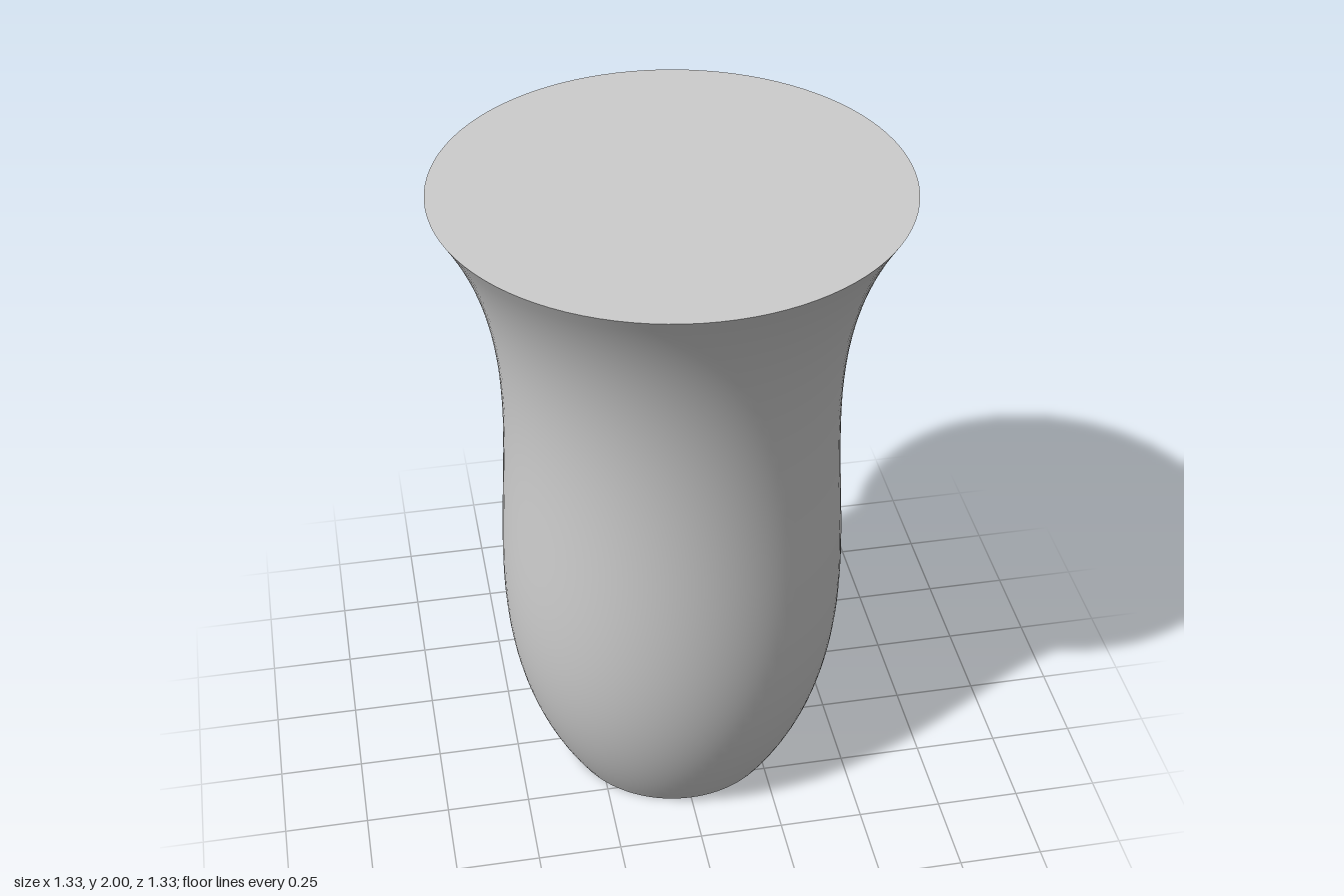
import * as THREE from 'three';

const SEGMENTS = 96;
const HEIGHT = 2;
const BASE_RADIUS = 0.333;
const RIM_RADIUS = 0.667;

export function createModel() {
  const group = new THREE.Group();
  group.name = 'vase';

  const grey = new THREE.MeshStandardMaterial({ color: 0xcccccc });
  grey.name = 'light grey';

  // S-shaped profile: full belly below, narrow neck, flared rim
  const profile = new THREE.CubicBezierCurve(
    new THREE.Vector2(BASE_RADIUS, 0),
    new THREE.Vector2(0.743, 0.667),
    new THREE.Vector2(0.257, 1.333),
    new THREE.Vector2(RIM_RADIUS, HEIGHT)
  );
  const body = new THREE.Mesh(new THREE.LatheGeometry(profile.getPoints(48), SEGMENTS), grey);
  body.name = 'body';
  group.add(body);

  // Flat discs closing both ends
  const addDisc = (name, radius, y, tilt) => {
    const disc = new THREE.Mesh(new THREE.CircleGeometry(radius, SEGMENTS), grey);
    disc.name = name;
    disc.rotation.x = tilt;
    disc.position.y = y;
    group.add(disc);
  };
  addDisc('top', RIM_RADIUS, HEIGHT, -Math.PI / 2);
  addDisc('base', BASE_RADIUS, 0, Math.PI / 2);

  return group;
}
